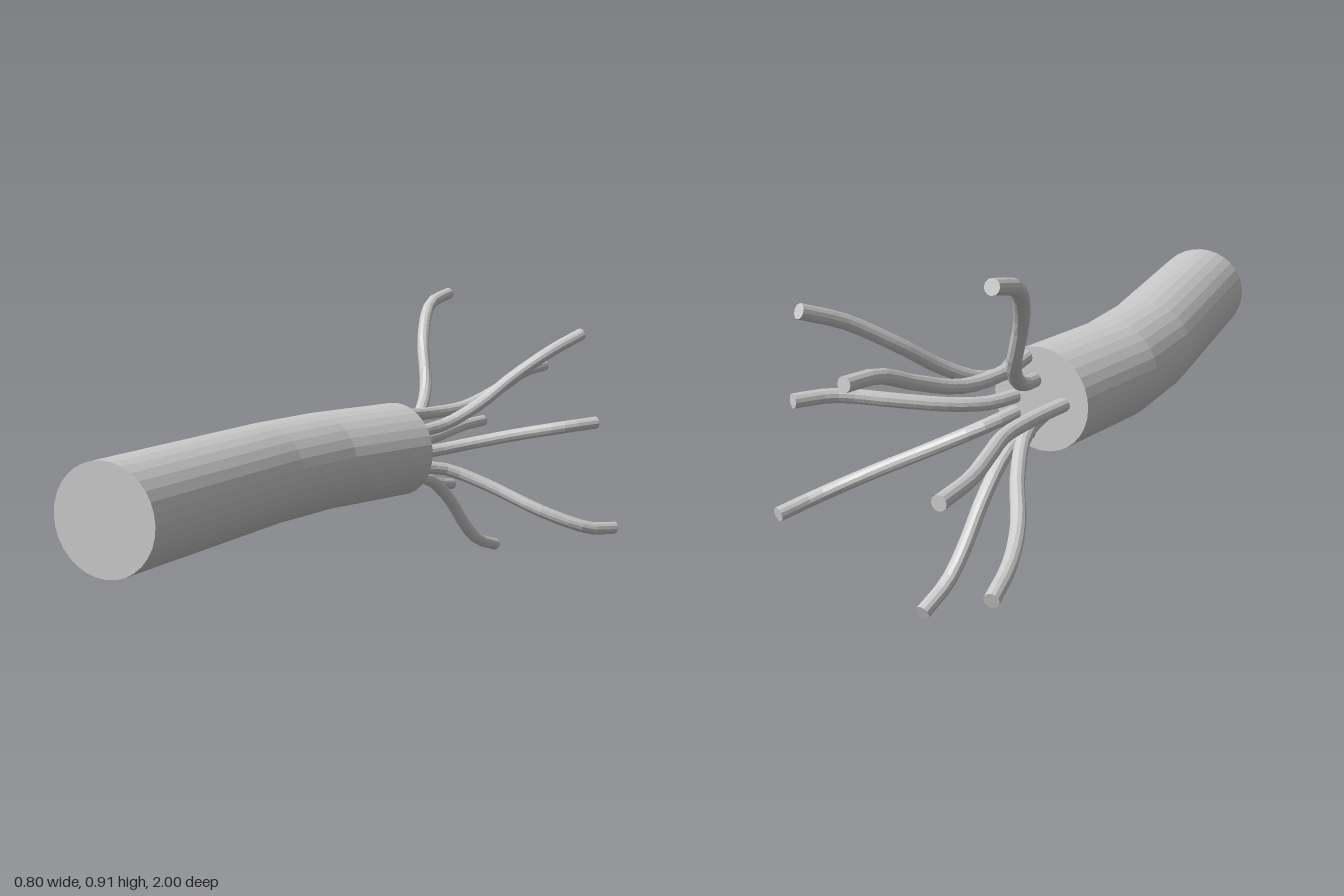
import * as THREE from 'three';

const V = (x, y, z) => new THREE.Vector3(x, y, z);

// Bends a capped cylinder through rings of { c: centre, s: side radius, n: upper radius }
function sweep(rings, sides, name) {
  const n = rings.length - 1;
  const geo = new THREE.CylinderGeometry(1, 1, 1, sides, n);
  const pos = geo.attributes.position;
  for (let i = 0; i < pos.count; i++) {
    const r = rings[Math.round((pos.getY(i) + 0.5) * n)];
    const p = r.c.clone().addScaledVector(r.s, pos.getX(i)).addScaledVector(r.n, pos.getZ(i));
    pos.setXYZ(i, p.x, p.y, p.z);
  }
  geo.computeVertexNormals();
  const mesh = new THREE.Mesh(geo, new THREE.MeshStandardMaterial({ color: 0xcccccc, flatShading: true }));
  mesh.name = name;
  return mesh;
}

// Thin round wire along a smooth curve
function wire(points, name) {
  const curve = new THREE.CatmullRomCurve3(points.map((p) => V(...p)));
  const rings = [];
  const steps = 16;
  for (let i = 0; i <= steps; i++) {
    const t = curve.getTangentAt(i / steps);
    const s = t.clone().cross(V(0, 1, 0)).normalize();
    const n = s.clone().cross(t);
    rings.push({ c: curve.getPointAt(i / steps), s: s.multiplyScalar(0.02), n: n.multiplyScalar(0.02) });
  }
  return sweep(rings, 12, name);
}

export function createModel() {
  const group = new THREE.Group();
  group.name = 'strippedCable';

  // Thick sheath: left and right edge (x, z) of each ring, front to back
  const edges = [
    [-0.304, 0.998, -0.012, 0.942],
    [-0.383, 0.285, -0.09, 0.275],
    [-0.383, 0.02, -0.087, 0.03],
    [-0.318, -0.305, -0.024, -0.28],
  ];
  const rings = edges.map(([lx, lz, rx, rz]) => ({
    c: V((lx + rx) / 2, 0.427, (lz + rz) / 2),
    s: V((rx - lx) / 2, 0, (rz - lz) / 2),
    n: V(0, 0.148, 0),
  }));
  group.add(sweep(rings, 32, 'sheath'));

  // Wires fanning out of the back end
  const wires = {
    upperRightWire: [[-0.15, 0.475, -0.26], [-0.165, 0.5, -0.39], [-0.21, 0.59, -0.52], [-0.28, 0.75, -0.61], [-0.33, 0.86, -0.73], [-0.332, 0.892, -0.85]],
    upperLeftWire: [[-0.08, 0.49, -0.26], [-0.055, 0.505, -0.41], [0, 0.56, -0.52], [0.055, 0.635, -0.62], [0.135, 0.72, -0.74], [0.187, 0.772, -0.86]],
    topWire: [[-0.125, 0.542, -0.26], [-0.122, 0.532, -0.43], [-0.09, 0.54, -0.58], [-0.045, 0.59, -0.73], [-0.02, 0.635, -0.84], [-0.005, 0.648, -0.96]],
    leftWire: [[-0.095, 0.42, -0.26], [-0.055, 0.425, -0.38], [0.01, 0.44, -0.47], [0.11, 0.463, -0.56], [0.24, 0.488, -0.66], [0.298, 0.495, -0.76]],
    middleWire: [[-0.25, 0.425, -0.26], [-0.22, 0.425, -0.42], [-0.21, 0.425, -0.57], [-0.24, 0.425, -0.71], [-0.27, 0.425, -0.85], [-0.275, 0.425, -1]],
    lowerLeftWire: [[-0.095, 0.375, -0.26], [-0.05, 0.36, -0.39], [0.06, 0.308, -0.47], [0.23, 0.225, -0.545], [0.34, 0.172, -0.64], [0.38, 0.157, -0.745]],
    bottomWire: [[-0.135, 0.325, -0.26], [-0.135, 0.318, -0.41], [-0.133, 0.235, -0.54], [-0.125, 0.125, -0.635], [-0.118, 0.06, -0.71], [-0.107, 0.021, -0.815]],
    lowerRightWire: [[-0.18, 0.388, -0.26], [-0.19, 0.37, -0.42], [-0.24, 0.31, -0.56], [-0.31, 0.25, -0.69], [-0.355, 0.21, -0.82], [-0.378, 0.185, -0.95]],
  };
  for (const [name, points] of Object.entries(wires)) group.add(wire(points, name));

  return group;
}
